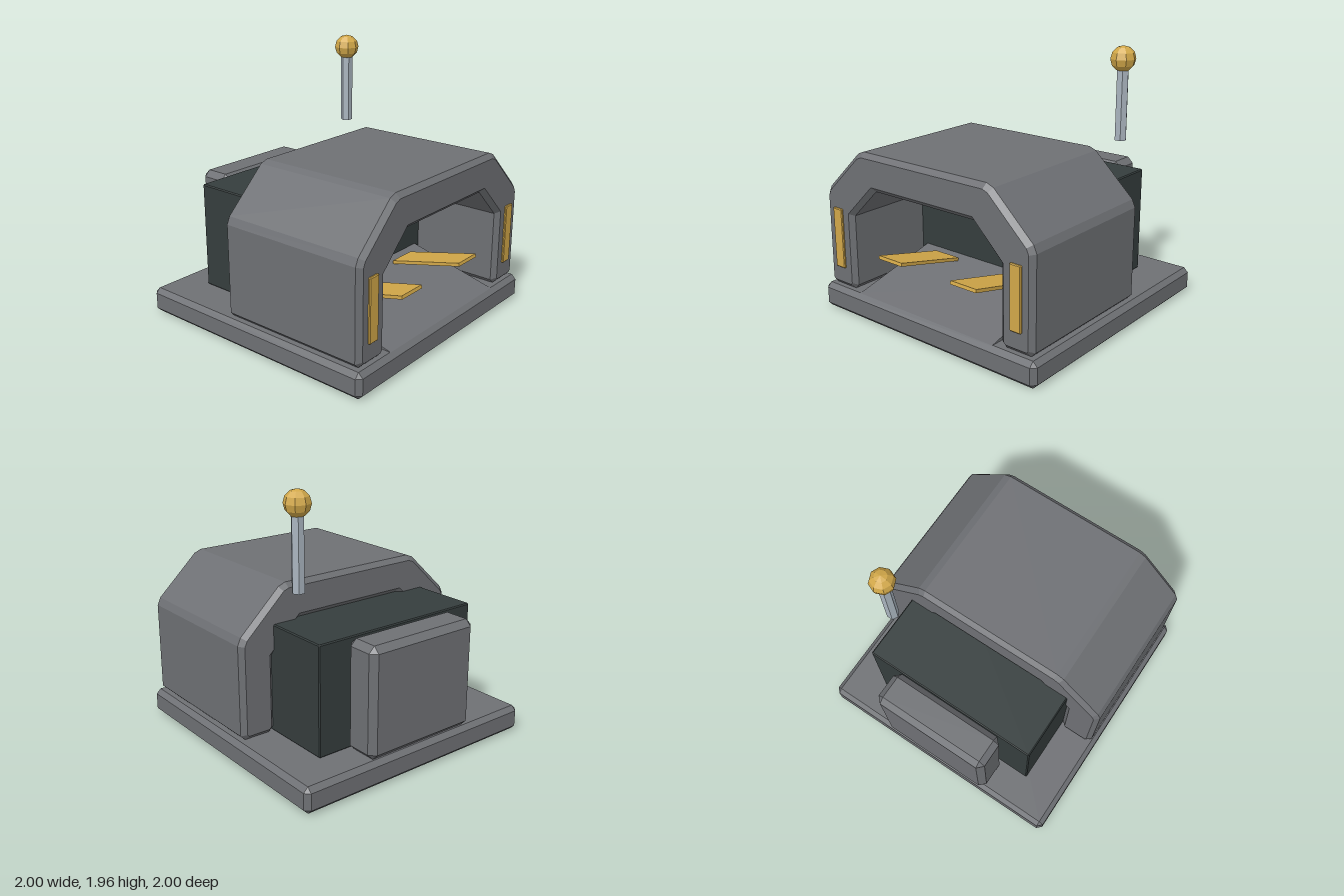
import * as THREE from 'three';
import { ConvexGeometry } from 'three/addons/geometries/ConvexGeometry.js';

export function createModel() {
  const model = new THREE.Group();
  const mat = (name, color) => {
    const m = new THREE.MeshStandardMaterial({ color });
    m.name = name;
    return m;
  };
  const hullGrey = mat('hull grey', 0x6e7074);
  const darkGreen = mat('dark green grey', 0x353d3d);
  const gold = mat('gold', 0xd2a849);
  const steel = mat('pale steel', 0xa9b4be);

  const add = (name, geometry, material, x = 0, y = 0, z = 0) => {
    const mesh = new THREE.Mesh(geometry, material);
    mesh.name = name;
    mesh.position.set(x, y, z);
    model.add(mesh);
    return mesh;
  };

  // Box with every edge cut at 45 degrees by b
  const chamferBox = (w, h, d, b) => {
    const pts = [];
    for (const sx of [-1, 1]) for (const sy of [-1, 1]) for (const sz of [-1, 1]) {
      const x = w / 2, y = h / 2, z = d / 2;
      pts.push(
        new THREE.Vector3(sx * x, sy * (y - b), sz * (z - b)),
        new THREE.Vector3(sx * (x - b), sy * y, sz * (z - b)),
        new THREE.Vector3(sx * (x - b), sy * (y - b), sz * z));
    }
    return new ConvexGeometry(pts);
  };

  const faceted = (geometry) => {
    const g = geometry.toNonIndexed();
    g.computeVertexNormals();
    return g;
  };

  // Base slab
  add('base', chamferBox(2, 0.192, 2, 0.035), hullGrey, 0, 0.096, 0);

  // Arched shell: right half of the section, mirrored for the left
  const half = [
    [0.455, 1.0], [0.69, 0.77], [0.69, 0.23], [0.725, 0.195],
    [0.925, 0.195], [0.96, 0.23], [0.96, 0.895], [0.935, 0.95],
    [0.62, 1.248], [0.565, 1.27],
  ];
  const section = [...half, ...half.map(([x, y]) => [-x, y]).reverse()];
  const bevel = 0.035;
  const shell = new THREE.ExtrudeGeometry(
    new THREE.Shape(section.map(([x, y]) => new THREE.Vector2(x, y))),
    { depth: 1.19 - 2 * bevel, bevelEnabled: true, bevelSegments: 1,
      bevelSize: bevel, bevelThickness: bevel, bevelOffset: -bevel });
  add('archShell', shell, hullGrey, 0, 0, -0.225 + bevel);

  // Inner chamber and rear block
  add('innerChamber', chamferBox(1.38, 0.805, 0.99, 0.008), darkGreen, 0, 0.5975, -0.235);
  add('rearBlock', chamferBox(0.93, 0.805, 0.27, 0.045), hullGrey, 0, 0.5975, -0.865);

  // Entry ramp: triangular section drawn in z and y, swept across x
  const wedge = new THREE.Shape([
    new THREE.Vector2(-0.97, 0.192), new THREE.Vector2(-0.26, 0.192), new THREE.Vector2(-0.26, 0.37),
  ]);
  const ramp = new THREE.ExtrudeGeometry(wedge, { depth: 1.27, bevelEnabled: false });
  ramp.translate(0, 0, -0.635);
  ramp.rotateY(Math.PI / 2);
  add('ramp', ramp, hullGrey);

  // Tilted ramp plates and front light strips
  for (const [side, s] of [['left', 1], ['right', -1]]) {
    const plate = add(side + 'RampPlate', new THREE.BoxGeometry(0.228, 0.025, 0.6), gold, s * 0.347, 0.436, 0.635);
    plate.rotation.x = -0.24;
    add(side + 'LightStrip', chamferBox(0.092, 0.46, 0.04, 0.006), gold, s * 0.828, 0.58, 0.96);
  }

  // Antenna rod and ball
  const rod = new THREE.CylinderGeometry(0.046, 0.046, 0.53, 6);
  rod.rotateY(Math.PI / 2);
  add('antennaRod', faceted(rod), steel, 0.65, 1.542, -0.46);
  add('antennaBall', faceted(new THREE.SphereGeometry(0.094, 8, 6)), gold, 0.65, 1.87, -0.46);

  return model;
}
